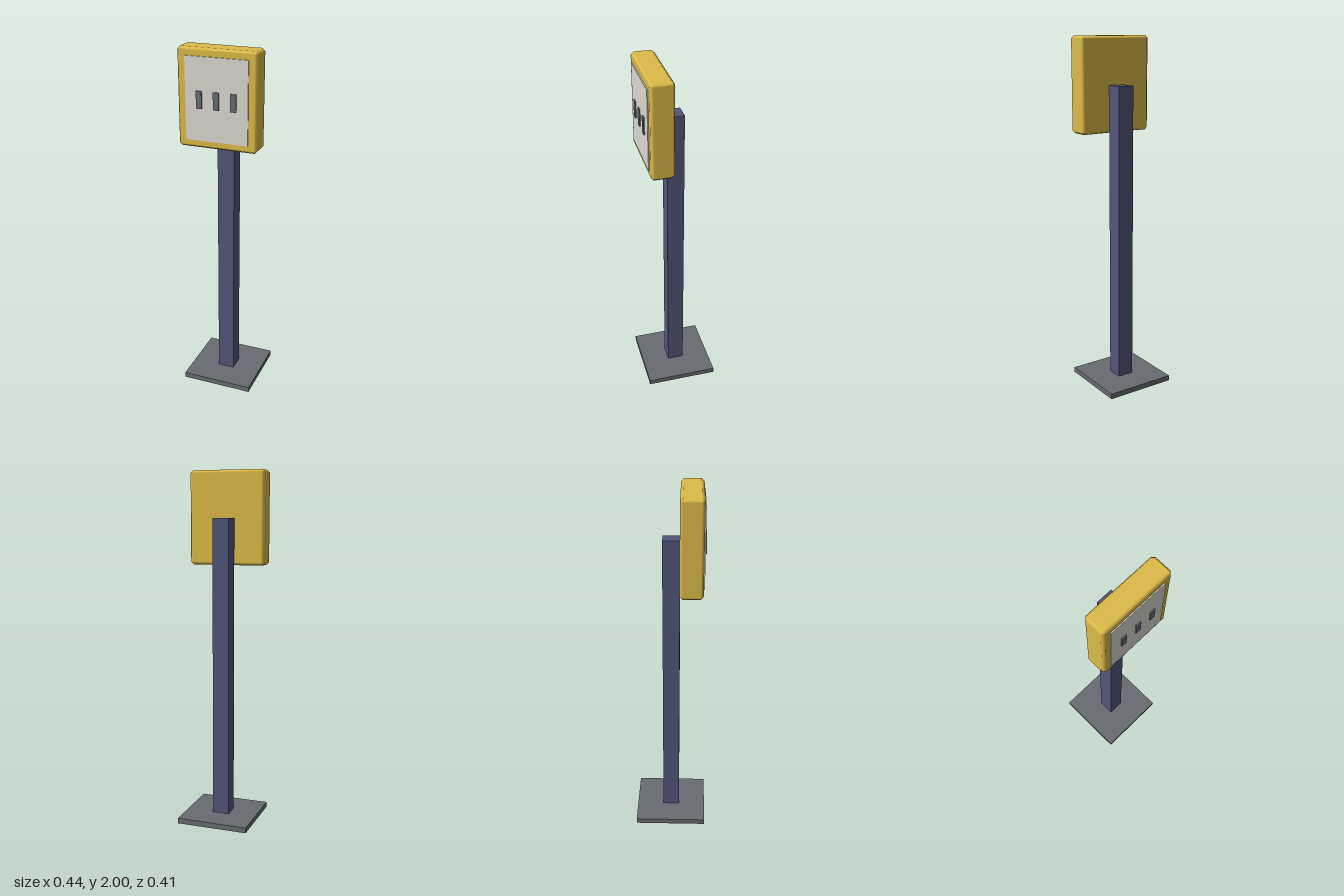
import * as THREE from 'three';
import { RoundedBoxGeometry } from 'three/addons/geometries/RoundedBoxGeometry.js';

const paint = (color) => new THREE.MeshStandardMaterial({ color });

// Box whose edges carry a single flat bevel, shaded with smooth normals
function beveledBox(w, h, d, r) {
  const geo = new RoundedBoxGeometry(w, h, d, 1, r);
  const p = geo.attributes.position;
  const n = geo.attributes.normal;
  for (let i = 0; i < p.count; i++) {
    const nx = n.getX(i), ny = n.getY(i), nz = n.getZ(i);
    const k = r / (Math.abs(nx) + Math.abs(ny) + Math.abs(nz)) - r;
    p.setXYZ(i, p.getX(i) + nx * k, p.getY(i) + ny * k, p.getZ(i) + nz * k);
  }
  return geo;
}

export function createModel() {
  const model = new THREE.Group();
  model.name = 'postMountedBox';

  const yellow = paint(0xdebb48);
  const blue = paint(0x52567a);
  const grey = paint(0x686b72);
  const cream = paint(0xdedad2);

  const add = (name, geo, mat, x, y, z) => {
    const mesh = new THREE.Mesh(geo, mat);
    mesh.name = name;
    mesh.position.set(x, y, z);
    model.add(mesh);
  };
  const box = (w, h, d) => new THREE.BoxGeometry(w, h, d);

  // Ground plate and square post
  add('basePlate', box(0.41, 0.031, 0.41), grey, 0, 0.0155, 0);
  add('post', box(0.095, 1.735, 0.095), blue, 0, 0.8675, 0);

  // Housing mounted on the front of the post
  add('housing', beveledBox(0.439, 0.527, 0.125, 0.0155), yellow, 0, 1.7365, 0.1095);

  // Front panel with three raised bars
  add('frontPanel', box(0.346, 0.442, 0.012), cream, 0, 1.736, 0.172);
  for (const i of [-1, 0, 1]) {
    add('panelBar', box(0.031, 0.093, 0.013), grey, i * 0.0945, 1.735, 0.1785);
  }

  return model;
}
